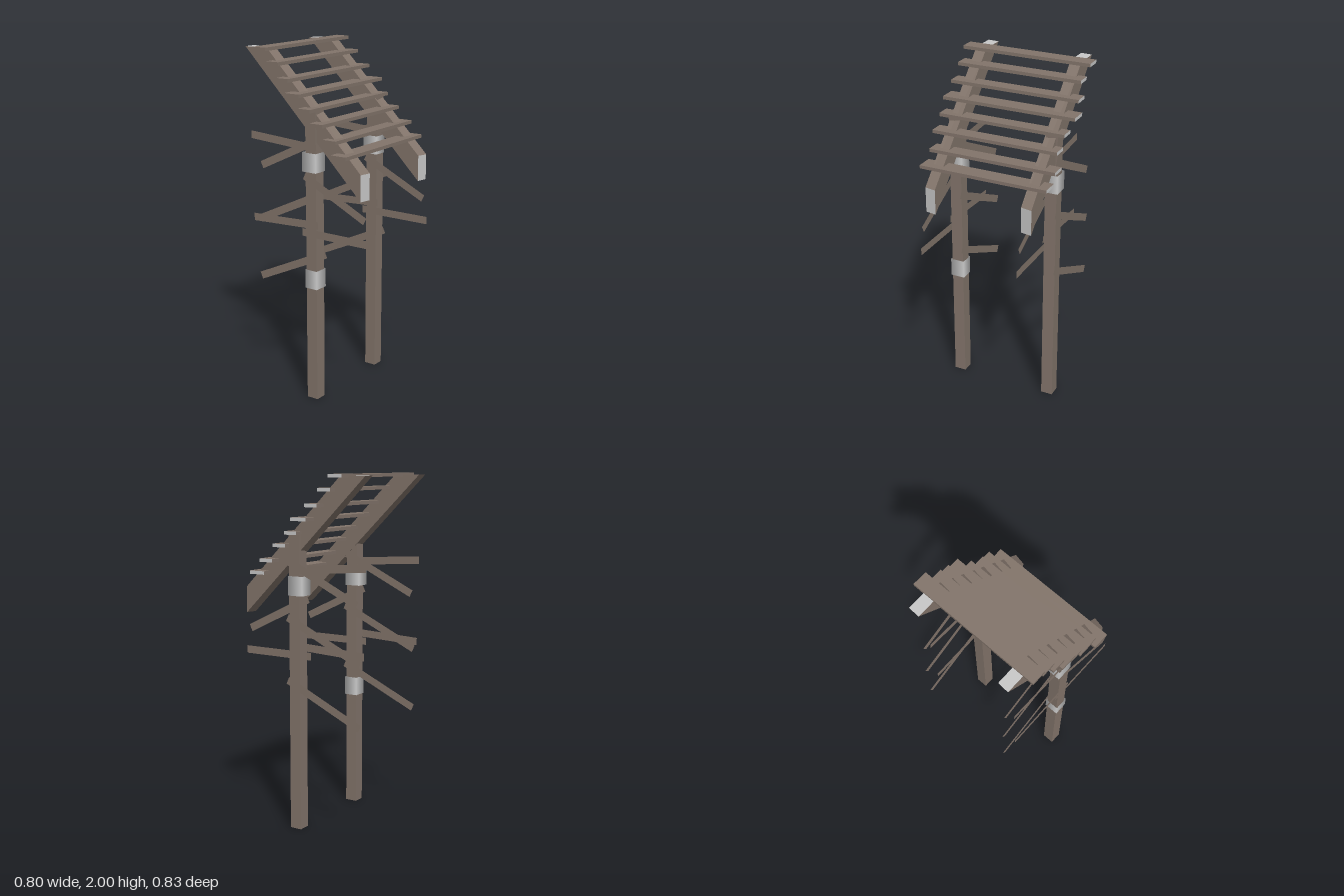
import * as THREE from 'three';

const wood = new THREE.MeshStandardMaterial({ color: 0x82746a, side: THREE.DoubleSide });
wood.name = 'weathered wood';
const pale = new THREE.MeshStandardMaterial({ color: 0xc8c8c8, side: THREE.DoubleSide });
pale.name = 'pale grey';

function add(parent, name, geometry, material, x = 0, y = 0, z = 0) {
  const mesh = new THREE.Mesh(geometry, material);
  mesh.name = name;
  mesh.position.set(x, y, z);
  parent.add(mesh);
  return mesh;
}

// Sloping beam with a plumb-cut front end and a level-cut top, both pale
function rafterGeometry(width) {
  const profile = [[0.364, 1.22], [-0.413, 1.99], [-0.26, 1.99], [0.364, 1.367]];
  const shape = new THREE.Shape(profile.map(([z, y]) => new THREE.Vector2(-z, y)));
  const g = new THREE.ExtrudeGeometry(shape, { depth: width, bevelEnabled: false });
  g.rotateY(Math.PI / 2).translate(-width / 2, 0, 0);
  const p = g.attributes.position;
  // the hand-sawn ends are slightly out of square
  for (let i = 0; i < p.count; i++) {
    const z = p.getZ(i);
    p.setZ(i, z + p.getX(i) * (0.13 + 0.18 * z));
  }
  g.computeVertexNormals();
  g.clearGroups();
  const n = g.attributes.normal;
  for (let i = 0; i < p.count; i += 3) {
    const isCut = n.getZ(i) > 0.93 || n.getY(i) > 0.93;
    g.addGroup(i, 3, isCut ? 1 : 0);
  }
  return g;
}

// Flat, paper-thin stick in the z-y plane between two points
function stick(parent, x, [z1, y1], [z2, y2]) {
  const g = new THREE.PlaneGeometry(Math.hypot(z2 - z1, y2 - y1), 0.044);
  g.rotateY(-Math.PI / 2);
  const mesh = add(parent, 'stick', g, wood, x, (y1 + y2) / 2, (z1 + z2) / 2);
  mesh.rotation.x = -Math.atan2(y2 - y1, z2 - z1);
}

// Open square band wrapped around a post, softly shaded
function sleeve(parent, x, y, z, sizeX, sizeZ) {
  const g = new THREE.CylinderGeometry(Math.SQRT1_2, Math.SQRT1_2, 0.108, 4, 1, true);
  g.rotateY(Math.PI / 4).scale(sizeX, 1, sizeZ);
  add(parent, 'sleeve', g, pale, x, y, z);
}

export function createModel() {
  const model = new THREE.Group();
  model.name = 'leanToRack';

  // Sticks nailed to either face of a post, as [z, y] end pairs
  const leftFaceSticks = [
    [[0.08, 1.53], [-0.37, 1.315]],
    [[0.08, 1.215], [-0.39, 0.995]],
    [[0.08, 0.86], [-0.39, 0.645]],
  ];
  const rightFaceSticks = [
    [[0.07, 1.475], [-0.38, 1.503]],
    [[0.08, 1.045], [-0.372, 1.025]],
    [[-0.01, 1.315], [0.39, 1.12]],
    [[-0.027, 0.993], [0.418, 0.993]],
  ];

  for (const side of [-1, 1]) {
    const frame = new THREE.Group();
    frame.name = side > 0 ? 'leftFrame' : 'rightFrame';
    model.add(frame);
    const postX = side > 0 ? 0.294 : -0.298;
    const rafterX = side > 0 ? 0.285 : -0.294;
    add(frame, 'post', new THREE.BoxGeometry(0.07, 1.685, 0.07), wood, postX, 0.8425, 0.033);
    add(frame, 'rafter', rafterGeometry(0.066), [wood, pale], rafterX);
    sleeve(frame, postX, 1.392, 0.025, 0.082, 0.094);
    if (side < 0) sleeve(frame, postX, 0.725, 0.034, 0.084, 0.08);
    for (const [from, to] of leftFaceSticks) stick(frame, postX + 0.0365, from, to);
    for (const [from, to] of rightFaceSticks) stick(frame, postX - 0.0365, from, to);
  }

  // Roof slats: x ends, z ends, height; the left end grain is pale
  const slats = [
    [-0.39, 0.385, -0.308, -0.223, 1.99],
    [-0.382, 0.366, -0.224, -0.142, 1.917],
    [-0.39, 0.385, -0.153, -0.072, 1.834],
    [-0.4, 0.4, -0.091, 0.008, 1.76],
    [-0.39, 0.368, -0.008, 0.072, 1.683],
    [-0.39, 0.362, 0.07, 0.154, 1.612],
    [-0.372, 0.385, 0.142, 0.226, 1.529],
    [-0.39, 0.372, 0.207, 0.305, 1.457],
  ];
  const roof = new THREE.Group();
  roof.name = 'roofSlats';
  model.add(roof);
  for (const [x1, x2, z1, z2, y] of slats) {
    add(roof, 'slat', new THREE.BoxGeometry(x2 - x1, 0.019, z2 - z1),
      [pale, wood, wood, wood, wood, wood], (x1 + x2) / 2, y, (z1 + z2) / 2);
  }
  return model;
}
